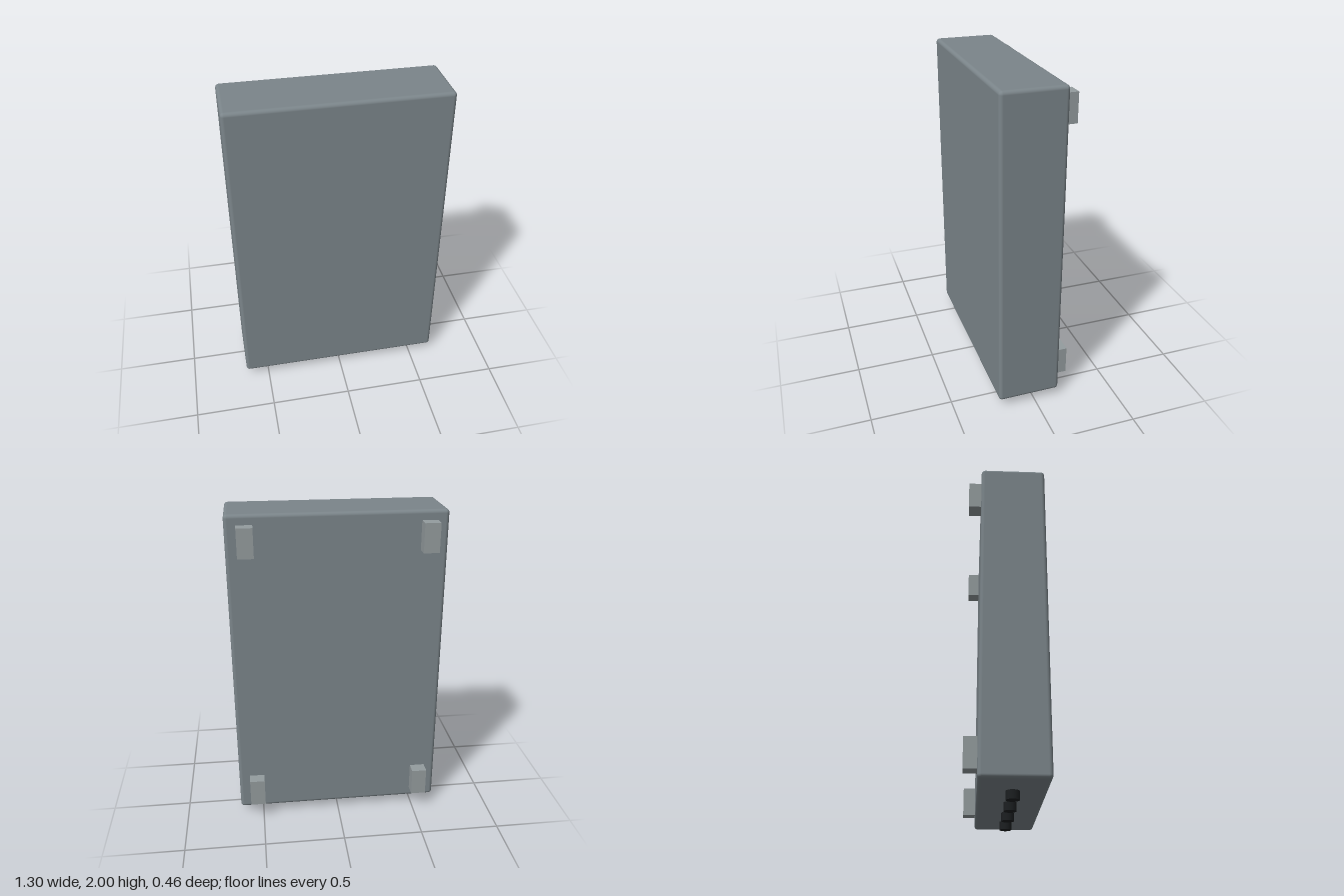
import * as THREE from 'three';
import { RoundedBoxGeometry } from 'three/addons/geometries/RoundedBoxGeometry.js';

export function createModel() {
  const group = new THREE.Group();
  group.name = 'wallCabinet';
  const bodyMat = new THREE.MeshStandardMaterial({ color: 0x7b858a });
  const bracketMat = new THREE.MeshStandardMaterial({ color: 0x949c9e });
  const glandMat = new THREE.MeshStandardMaterial({ color: 0x1c1f21 });

  const add = (name, geometry, material, x, y, z) => {
    const mesh = new THREE.Mesh(geometry, material);
    mesh.name = name;
    mesh.position.set(x, y, z);
    group.add(mesh);
  };

  // Enclosure with softly rounded edges
  add('enclosure', new RoundedBoxGeometry(1.296, 1.95, 0.388, 3, 0.022), bodyMat, 0, 1.025, 0.037);

  // Four mounting blocks on the back, slightly sunk into the enclosure
  const block = new THREE.BoxGeometry(0.094, 0.175, 0.085);
  for (const x of [-0.533, 0.533]) {
    for (const y of [0.202, 1.853]) add('mountingBlock', block, bracketMat, x, y, -0.19);
  }

  // Row of cable glands under the enclosure
  const gland = new THREE.CylinderGeometry(0.038, 0.038, 0.055, 16);
  for (let i = 0; i < 4; i++) add('cableGland', gland, glandMat, -0.39 + i * 0.26, 0.0275, 0.037);

  return group;
}
